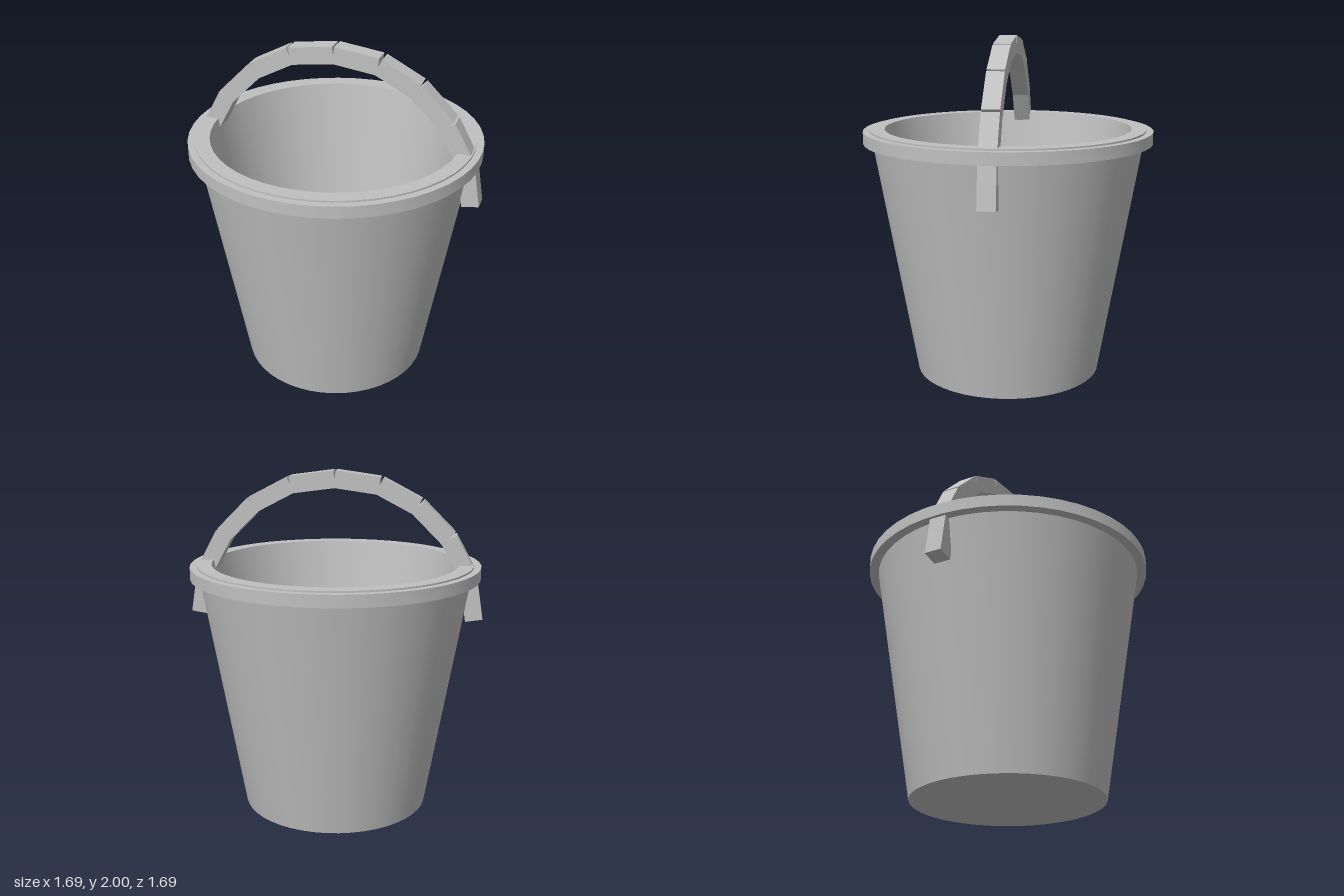
import * as THREE from 'three';
import { toCreasedNormals } from 'three/addons/utils/BufferGeometryUtils.js';

export function createModel() {
  const model = new THREE.Group();
  model.name = 'bucket';
  const grey = new THREE.MeshStandardMaterial({ color: 0xc0c0c0 });
  grey.name = 'grey metal';

  // Tapered shell: base, outer wall, stepped rim, inner wall and floor
  const profile = [
    [0, 0], [0.55, 0], [0.79, 1.39], [0.845, 1.39], [0.845, 1.46],
    [0.805, 1.46], [0.805, 1.47], [0.72, 1.47], [0.47, 0.05], [0, 0.05],
  ].map(([r, y]) => new THREE.Vector2(r, y));
  const shell = new THREE.Mesh(toCreasedNormals(new THREE.LatheGeometry(profile, 48), 0.5), grey);
  shell.name = 'bucketShell';
  model.add(shell);

  // Arched handle of straight links, running through the rim and turned at an angle
  const handle = new THREE.Group();
  handle.name = 'handle';
  handle.rotation.y = THREE.MathUtils.degToRad(20);
  const joints = [[0, 1.95], [0.255, 1.915], [0.475, 1.8], [0.655, 1.62], [0.77, 1.41], [0.812, 1.15]];
  for (const side of [-1, 1]) {
    for (let i = 0; i < joints.length - 1; i++) {
      const [x0, y0] = joints[i];
      const [x1, y1] = joints[i + 1];
      const length = Math.hypot(x1 - x0, y1 - y0);
      const link = new THREE.Mesh(new THREE.BoxGeometry(length, 0.1, 0.1), grey);
      link.position.set(side * (x0 + x1) / 2, (y0 + y1) / 2, 0);
      link.rotation.z = side * Math.atan2(y1 - y0, x1 - x0);
      link.name = (side > 0 ? 'left' : 'right') + 'HandleLink' + (i + 1);
      handle.add(link);
    }
  }
  model.add(handle);
  return model;
}
